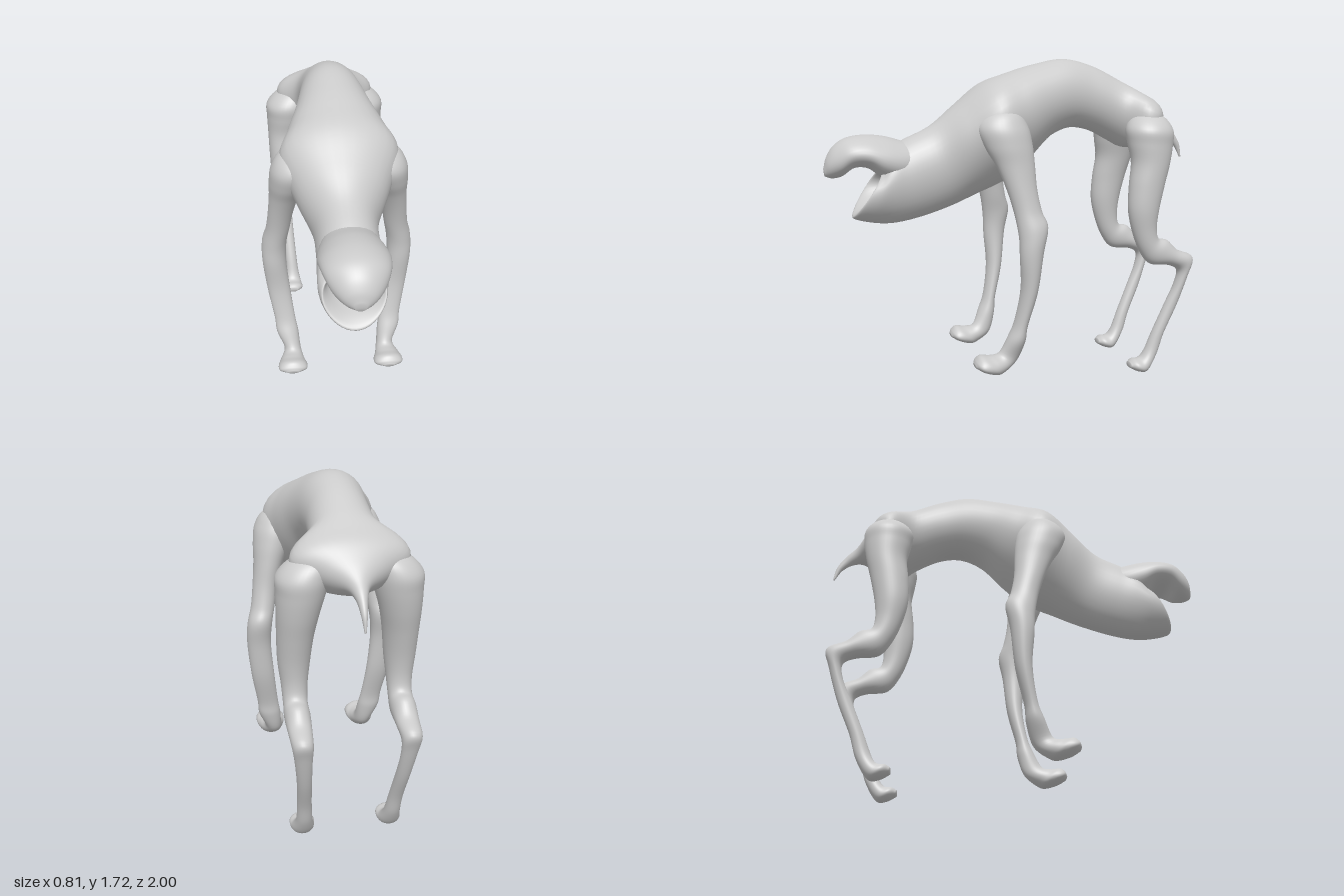
import * as THREE from 'three';

const material = new THREE.MeshStandardMaterial({ color: 0xcccccc });
const SIDES = 36;

// Smooth loft. Each station: [x centre, zA, yA, zB, yB, half width, egg],
// where A and B are the two opposite edges of the section in profile.
// egg < 0 narrows the A side, egg > 0 narrows the B side, none is an ellipse.
function loft(name, stations, steps = 6) {
  const curve = pick => new THREE.CatmullRomCurve3(
    stations.map(s => new THREE.Vector3(...pick(s))), false, 'catmullrom', 0.5);
  const edgeA = curve(s => [s[0], s[2], s[1]]);
  const edgeB = curve(s => [s[0], s[4], s[3]]);
  const breadth = curve(s => [s[5], s[6] ?? 0, 0]);
  const rings = (stations.length - 1) * steps;
  const pos = [], index = [];
  for (let i = 0; i <= rings; i++) {
    const a = edgeA.getPoint(i / rings), b = edgeB.getPoint(i / rings);
    const { x: width, y: egg } = breadth.getPoint(i / rings);
    for (let j = 0; j < SIDES; j++) {
      const t = (j / SIDES) * Math.PI * 2, c = Math.cos(t), s = Math.sin(t);
      pos.push(a.x + Math.max(width, 0.003) * c * (1 + egg * s),
        (a.y + b.y) / 2 + s * (a.y - b.y) / 2,
        (a.z + b.z) / 2 + s * (a.z - b.z) / 2);
    }
  }
  for (let i = 0; i < rings; i++) {
    for (let j = 0; j < SIDES; j++) {
      const k = (j + 1) % SIDES, p = i * SIDES, q = p + SIDES;
      index.push(p + j, p + k, q + j, p + k, q + k, q + j);
    }
  }
  // Close both ends with a fan
  for (const [ring, flip] of [[0, true], [rings, false]]) {
    const base = ring * SIDES, m = [0, 0, 0];
    for (let j = 0; j < SIDES; j++) for (let d = 0; d < 3; d++) m[d] += pos[(base + j) * 3 + d] / SIDES;
    const centre = pos.length / 3;
    pos.push(...m);
    for (let j = 0; j < SIDES; j++) {
      const k = (j + 1) % SIDES;
      index.push(centre, base + (flip ? k : j), base + (flip ? j : k));
    }
  }
  // Turn the faces outward, judged by the signed volume
  const corner = i => new THREE.Vector3().fromArray(pos, index[i] * 3);
  let volume = 0;
  for (let i = 0; i < index.length; i += 3) volume += corner(i).dot(corner(i + 1).cross(corner(i + 2)));
  if (volume < 0) index.reverse();

  const geometry = new THREE.BufferGeometry();
  geometry.setAttribute('position', new THREE.Float32BufferAttribute(pos, 3));
  geometry.setIndex(index);
  geometry.computeVertexNormals();
  const mesh = new THREE.Mesh(geometry, material);
  mesh.name = name;
  return mesh;
}

// Tail, flared pelvis, arched back, broad shoulders and neck,
// ending in the lower jaw and the mouth hollow
const torso = [
  [0, -1.0, 1.175, -0.99, 1.175, 0.004],
  [0, -0.985, 1.25, -0.955, 1.235, 0.014],
  [0, -0.94, 1.32, -0.90, 1.275, 0.026],
  [0, -0.885, 1.375, -0.84, 1.285, 0.055],
  [0, -0.83, 1.44, -0.77, 1.26, 0.14, 0.1],
  [0, -0.765, 1.505, -0.69, 1.24, 0.25, 0.15],
  [0, -0.685, 1.55, -0.62, 1.24, 0.26, 0.15],
  [0, -0.58, 1.61, -0.545, 1.275, 0.172, 0.05],
  [0, -0.43, 1.68, -0.42, 1.335, 0.152],
  [0, -0.27, 1.715, -0.30, 1.35, 0.165],
  [0, -0.10, 1.685, -0.18, 1.30, 0.20, 0.05],
  [0, 0.05, 1.64, -0.06, 1.18, 0.25, 0.15],
  [0, 0.19, 1.585, 0.06, 1.08, 0.285, 0.28],
  [0, 0.33, 1.475, 0.22, 1.01, 0.225, 0.2],
  [0, 0.46, 1.37, 0.36, 0.95, 0.16, 0.08],
  [0, 0.60, 1.302, 0.52, 0.90, 0.152, 0.08],
  [0, 0.66, 1.26, 0.66, 0.875, 0.158, 0.12],
  [0, 0.70, 1.18, 0.77, 0.882, 0.158, 0.15],
  [0, 0.715, 1.15, 0.865, 0.91, 0.145, 0.15],
  [0, 0.70, 1.135, 0.82, 0.95, 0.128, 0.15],
  [0, 0.65, 1.12, 0.72, 0.98, 0.105, 0.15],
];

// Domed skull and overhanging upper jaw, rising out of the neck
const skull = [
  [0, 0.38, 1.25, 0.42, 1.12, 0.05],
  [0, 0.50, 1.275, 0.53, 1.09, 0.105],
  [0, 0.60, 1.295, 0.62, 1.08, 0.143, -0.05],
  [0, 0.70, 1.322, 0.71, 1.11, 0.16, -0.15],
  [0, 0.80, 1.33, 0.78, 1.16, 0.158, -0.18],
  [0, 0.89, 1.315, 0.85, 1.165, 0.145, -0.15],
  [0, 0.95, 1.275, 0.91, 1.125, 0.115, -0.1],
  [0, 0.985, 1.22, 0.96, 1.115, 0.075],
  [0, 1.0, 1.165, 0.995, 1.125, 0.025],
];

// Shoulder, elbow, wrist and paw
const frontLeg = [
  [0.14, 0.16, 1.48, 0.14, 1.48, 0.03],
  [0.185, 0.23, 1.43, 0.05, 1.45, 0.10],
  [0.22, 0.265, 1.36, 0.005, 1.37, 0.116],
  [0.25, 0.235, 1.27, -0.01, 1.28, 0.10],
  [0.275, 0.185, 1.18, -0.015, 1.18, 0.078],
  [0.297, 0.14, 1.07, -0.02, 1.06, 0.066],
  [0.315, 0.105, 0.95, -0.04, 0.95, 0.063],
  [0.337, 0.085, 0.83, -0.065, 0.87, 0.066],
  [0.342, 0.08, 0.72, -0.04, 0.74, 0.064],
  [0.325, 0.07, 0.55, -0.015, 0.54, 0.062],
  [0.30, 0.095, 0.38, 0.03, 0.36, 0.057],
  [0.288, 0.13, 0.29, 0.04, 0.27, 0.06],
  [0.265, 0.17, 0.21, 0.075, 0.165, 0.046],
  [0.27, 0.22, 0.20, 0.145, 0.11, 0.065],
  [0.27, 0.27, 0.205, 0.19, 0.10, 0.08],
  [0.27, 0.295, 0.185, 0.255, 0.12, 0.075],
  [0.27, 0.305, 0.165, 0.30, 0.145, 0.03],
];

// Hip, thigh, knee, hock and paw
const hindLeg = [
  [0.13, -0.68, 1.45, -0.70, 1.45, 0.03],
  [0.17, -0.61, 1.42, -0.78, 1.41, 0.09],
  [0.21, -0.56, 1.35, -0.815, 1.34, 0.12],
  [0.222, -0.565, 1.27, -0.81, 1.26, 0.112],
  [0.235, -0.58, 1.17, -0.79, 1.16, 0.097],
  [0.245, -0.565, 1.05, -0.76, 1.05, 0.085],
  [0.25, -0.56, 0.92, -0.73, 0.92, 0.075],
  [0.25, -0.585, 0.80, -0.72, 0.82, 0.062],
  [0.25, -0.63, 0.69, -0.735, 0.76, 0.057],
  [0.25, -0.69, 0.62, -0.79, 0.745, 0.06],
  [0.25, -0.80, 0.605, -0.85, 0.69, 0.055],
  [0.25, -0.86, 0.57, -0.945, 0.645, 0.048],
  [0.245, -0.85, 0.49, -0.925, 0.55, 0.04],
  [0.235, -0.80, 0.38, -0.87, 0.38, 0.035],
  [0.225, -0.73, 0.22, -0.80, 0.22, 0.035],
  [0.22, -0.69, 0.12, -0.76, 0.10, 0.04],
  [0.22, -0.66, 0.08, -0.70, 0.005, 0.055],
  [0.22, -0.62, 0.075, -0.645, 0.005, 0.06],
  [0.22, -0.595, 0.06, -0.595, 0.03, 0.03],
];

export function createModel() {
  const group = new THREE.Group();
  group.name = 'creature';
  group.add(loft('tailTorsoAndLowerJaw', torso), loft('skull', skull));

  for (const [side, sign] of [['left', 1], ['right', -1]]) {
    const mirrored = leg => leg.map(([x, ...rest]) => [x * sign, ...rest]);
    group.add(loft(side + 'FrontLeg', mirrored(frontLeg)));
    group.add(loft(side + 'HindLeg', mirrored(hindLeg)));
  }
  return group;
}
